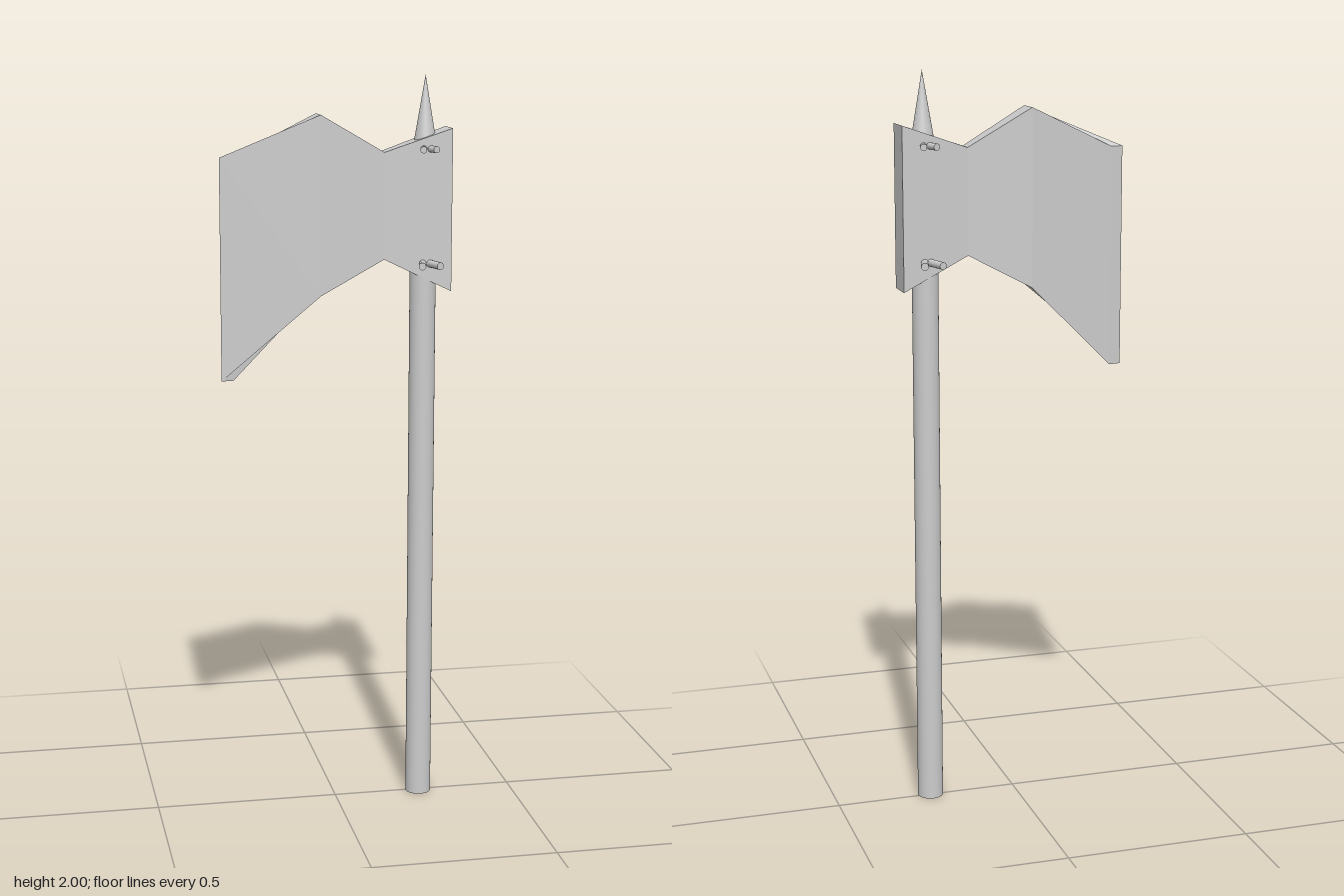
import * as THREE from 'three';

const material = new THREE.MeshStandardMaterial({ color: 0xcccccc });
const flatMaterial = new THREE.MeshStandardMaterial({ color: 0xcccccc, flatShading: true });

// Blade lofted through four-cornered sections, from the poll to the cutting edge
function bladeGeometry() {
  // [front x, back x, bottom y, top y, front z, back z]
  const sections = [
    [0.307, 0.307, 1.43, 1.862, 0.046, -0.042],
    [0.127, 0.127, 1.517, 1.8, 0.028, -0.021],
    [-0.046, -0.046, 1.425, 1.9, 0.04, -0.032],
    [-0.309, -0.276, 1.198, 1.79, 0.003, -0.003],
  ];
  const positions = [];
  const index = [];
  const quad = (a, b, c, d) => index.push(a, b, c, a, c, d);
  sections.forEach(([xf, xb, lo, hi, zf, zb], i) => {
    positions.push(xf, lo, zf, xf, hi, zf, xb, hi, zb, xb, lo, zb);
    if (i === 0) return;
    const p = (i - 1) * 4, q = i * 4;
    for (let k = 0; k < 4; k++) {
      const n = (k + 1) % 4;
      quad(p + k, p + n, q + n, q + k);
    }
  });
  quad(3, 2, 1, 0);
  const e = (sections.length - 1) * 4;
  quad(e, e + 1, e + 2, e + 3);
  const indexed = new THREE.BufferGeometry();
  indexed.setAttribute('position', new THREE.Float32BufferAttribute(positions, 3));
  indexed.setIndex(index);
  const geometry = indexed.toNonIndexed();
  geometry.computeVertexNormals();
  return geometry;
}

export function createModel() {
  const group = new THREE.Group();
  const add = (name, geometry, mat, x = 0, y = 0, z = 0) => {
    const mesh = new THREE.Mesh(geometry, mat);
    mesh.name = name;
    mesh.position.set(x, y, z);
    group.add(mesh);
    return mesh;
  };

  add('blade', bladeGeometry(), flatMaterial);

  // Shaft and the spike above it
  add('handle', new THREE.CylinderGeometry(0.035, 0.035, 1.8, 32), material, 0.238, 0.9, 0.004);
  add('topSpike', new THREE.ConeGeometry(0.034, 0.2, 32), material, 0.242, 1.9, 0.001);

  // Crossed pins through the head: a long pair below, a short pair above
  for (const [row, y, length, radius] of [['lower', 1.505, 0.202, 0.01], ['upper', 1.808, 0.146, 0.009]]) {
    for (const side of [-1, 1]) {
      const pin = add(`${row}Pin`, new THREE.CylinderGeometry(radius, radius, length, 16), material, 0.24, y, 0);
      const direction = new THREE.Vector3(side * 0.25, 0, 1).normalize();
      pin.quaternion.setFromUnitVectors(new THREE.Vector3(0, 1, 0), direction);
    }
  }
  return group;
}
